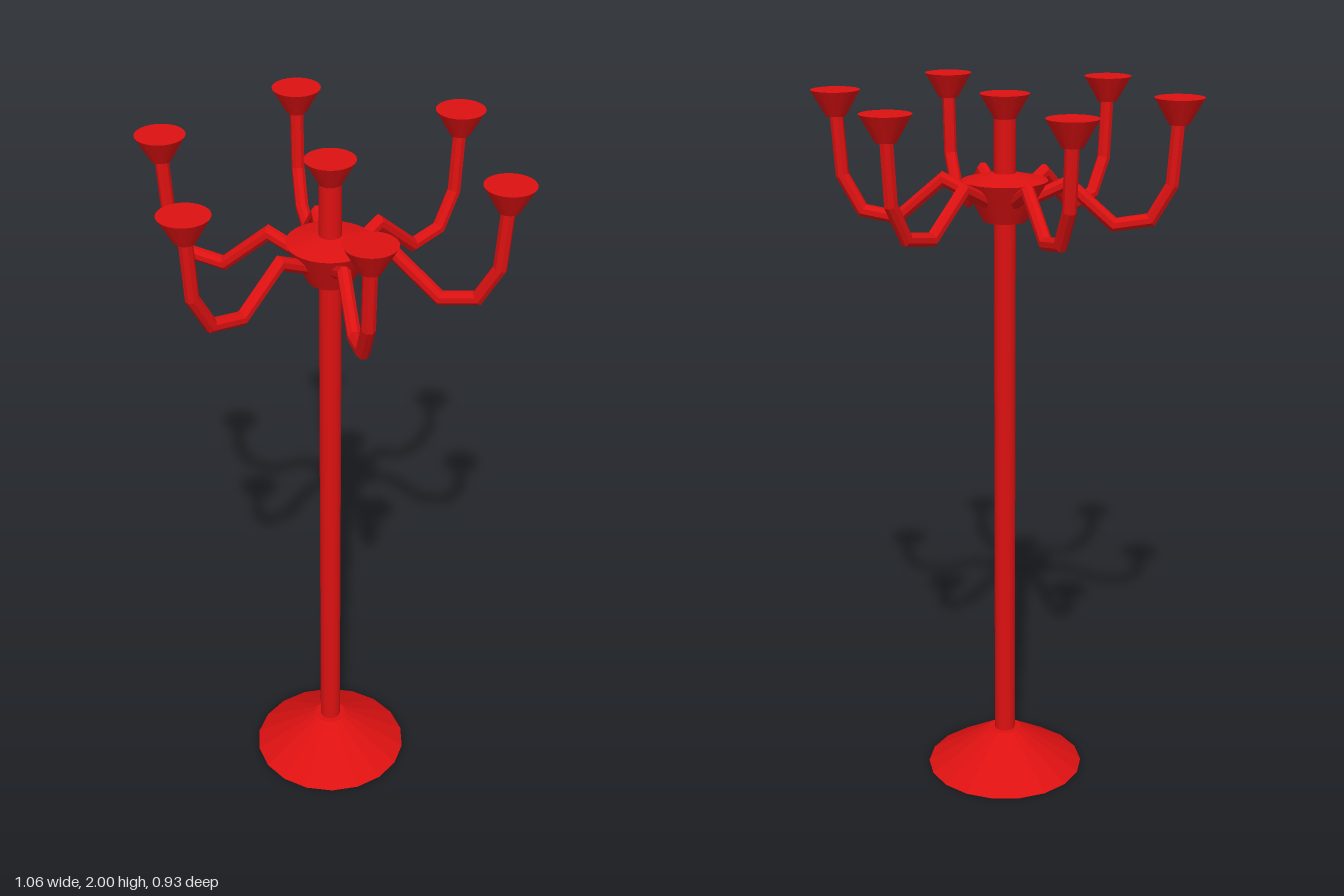
import * as THREE from 'three';

const red = new THREE.MeshStandardMaterial({ color: 0xdd1111 });
const redFlat = new THREE.MeshStandardMaterial({ color: 0xdd1111, flatShading: true });

function add(parent, name, geometry, material = red) {
  const mesh = new THREE.Mesh(geometry, material);
  mesh.name = name;
  parent.add(mesh);
  return mesh;
}

// Upright cylinder or cone frustum between two heights
function frustum(rTop, rBottom, y0, y1, sides) {
  return new THREE.CylinderGeometry(rTop, rBottom, y1 - y0, sides).translate(0, (y0 + y1) / 2, 0);
}

// Mitred pipe along a kinked path lying in the xy plane
function kinkedPipe(path, radius, sides) {
  const points = path.map(([x, y]) => new THREE.Vector2(x, y));
  const positions = [], index = [];
  points.forEach((p, i) => {
    const before = points[Math.max(i - 1, 0)], after = points[Math.min(i + 1, points.length - 1)];
    const dirIn = (i > 0 ? p.clone().sub(before) : after.clone().sub(p)).normalize();
    const dirOut = (i < points.length - 1 ? after.clone().sub(p) : dirIn.clone()).normalize();
    const tangent = dirIn.clone().add(dirOut).normalize();
    const stretch = 1 / tangent.dot(dirIn);
    for (let j = 0; j < sides; j++) {
      const a = ((j + 0.5) / sides) * Math.PI * 2;
      const n = Math.cos(a) * radius * stretch;
      positions.push(p.x - tangent.y * n, p.y + tangent.x * n, Math.sin(a) * radius);
      if (i > 0) {
        const k = (j + 1) % sides, lo = (i - 1) * sides, hi = i * sides;
        index.push(lo + j, lo + k, hi + j, lo + k, hi + k, hi + j);
      }
    }
  });
  const geometry = new THREE.BufferGeometry();
  geometry.setAttribute('position', new THREE.Float32BufferAttribute(positions, 3));
  geometry.setIndex(index);
  geometry.computeVertexNormals();
  return geometry;
}

export function createModel() {
  const model = new THREE.Group();
  model.name = 'candelabra';

  // Foot, pole and central cup
  add(model, 'base', frustum(0.047, 0.229, 0, 0.115, 18), redFlat);
  add(model, 'pole', frustum(0.03, 0.03, 0.1, 1.95, 16));
  const cup = frustum(0.067, 0.027, 1.93, 2, 32);
  add(model, 'centreCup', cup);

  // Hub with a slightly domed top
  add(model, 'hub', frustum(0.117, 0.06, 1.66, 1.77, 32));
  add(model, 'hubTop', frustum(0.03, 0.117, 1.77, 1.79, 32));

  // Six kinked arms, each ending in a cup
  const armGeometry = kinkedPipe([
    [0.06, 1.715], [0.17, 1.768], [0.297, 1.658], [0.395, 1.675], [0.449, 1.77], [0.461, 1.94],
  ], 0.0185, 8);
  for (let i = 0; i < 6; i++) {
    const branch = new THREE.Group();
    branch.name = 'branch' + (i + 1);
    add(branch, 'arm', armGeometry, redFlat);
    add(branch, 'cup', cup).position.x = 0.462;
    branch.rotation.y = (i * Math.PI) / 3;
    model.add(branch);
  }
  return model;
}
